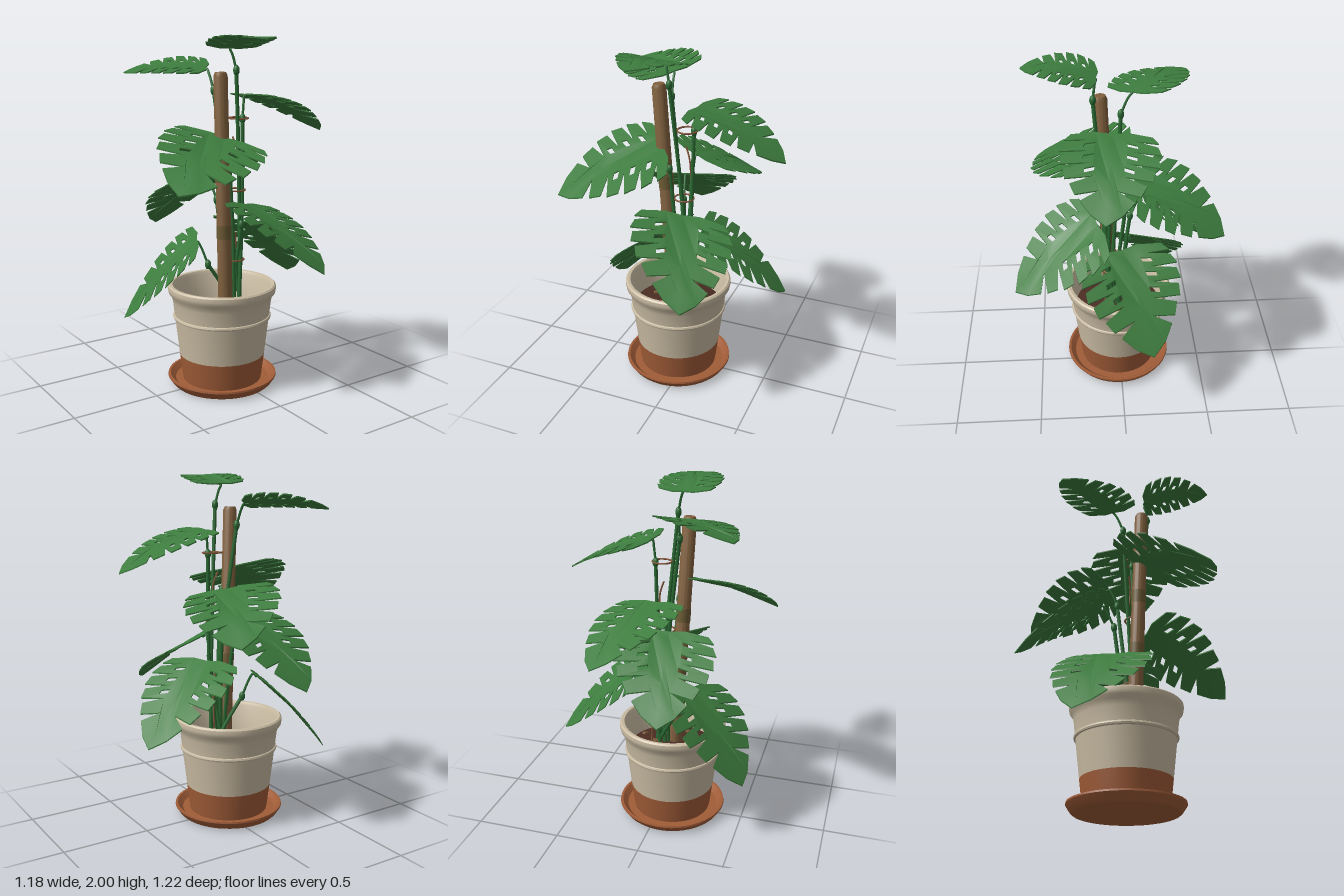
import * as THREE from 'three';
import { mergeGeometries, toCreasedNormals } from 'three/addons/utils/BufferGeometryUtils.js';

const mat = (name, color, side = THREE.FrontSide) => {
  const m = new THREE.MeshStandardMaterial({ color, side });
  m.name = name;
  return m;
};
const V = (a) => new THREE.Vector3(...a);

// Half of a split leaf in (u along the midrib, v outwards), length 1
function halfLeaf(sign) {
  const P = (s, t) => new THREE.Vector2(s + 0.11 * t, sign * t * (0.455 - 0.95 * (s - 0.2) ** 2));
  const slits = [-0.09, 0.05, 0.2, 0.35, 0.5, 0.65];
  const pts = [new THREE.Vector2(0, 0), P(-0.06, 0.4)];
  const holes = [];
  for (let i = 0; i < 5; i++) {
    const a = slits[i] + 0.027, b = slits[i + 1] - 0.027, m = (a + b) / 2;
    pts.push(P(a, 0.97), P(b, 1.02), P(slits[i + 1], 0.5 - 0.045 * i));
    if (i > 0 && i < 4) {
      holes.push(new THREE.Path([P(m - 0.026, 0.32), P(m + 0.02, 0.34), P(m + 0.026, 0.56), P(m - 0.02, 0.54)]));
    }
  }
  pts.push(P(0.68, 1.02), new THREE.Vector2(0.91, sign * 0.14));
  for (let i = 10; i > 0; i--) pts.push(new THREE.Vector2(i / 10, 0));
  const shape = new THREE.Shape(pts);
  shape.holes = holes;
  return new THREE.ExtrudeGeometry(shape, { depth: 0.007, bevelEnabled: false });
}

// Bends the flat leaf so that its midrib arches from base to tip
function leafGeometry(base, tip, roll, bow) {
  const d = tip.clone().sub(base), len = d.length();
  const run = Math.hypot(d.x, d.z), hx = d.x / run, hz = d.z / run;
  const geo = mergeGeometries([halfLeaf(1), halfLeaf(-1)]);
  const p = geo.attributes.position;
  for (let i = 0; i < p.count; i++) {
    const u = p.getX(i), v = p.getY(i) * len, n = p.getZ(i);
    const y = d.y * u + bow * len * 4 * u * (1 - u) - v * roll + Math.abs(v) * 0.02 + n;
    p.setXYZ(i, base.x + hx * run * u + hz * v, base.y + y, base.z + hz * run * u - hx * v);
  }
  geo.deleteAttribute('normal');
  return toCreasedNormals(geo, 0.6);
}

export function createModel() {
  const cream = mat('cream glaze', 0xcabca3);
  const clay = mat('terracotta', 0xa05c38);
  const earth = mat('soil', 0x4a2c22);
  const bark = mat('pole brown', 0x80603e);
  const moss = mat('moss', 0x6e5c35);
  const green = mat('leaf green', 0x3d7c3e, THREE.DoubleSide);
  const stemGreen = mat('stem green', 0x2b6a33);
  const twine = mat('twine brown', 0x86573a);

  const model = new THREE.Group();
  model.name = 'pottedPlant';
  const add = (name, geo, material, pos = [0, 0, 0], parent = model) => {
    const m = new THREE.Mesh(geo, material);
    m.name = name;
    m.position.set(...pos);
    parent.add(m);
    return m;
  };
  const lathe = (pts) => toCreasedNormals(
    new THREE.LatheGeometry(pts.map((p) => new THREE.Vector2(...p)), 48), 0.6);
  const tube = (pts, r, n = 20) =>
    new THREE.TubeGeometry(new THREE.CatmullRomCurve3(pts), n, r, 8);

  // Pot, saucer and soil
  const pot = new THREE.Group();
  pot.name = 'pot';
  pot.position.set(-0.06, 0, 0.01);
  model.add(pot);
  add('saucer', lathe([[0, 0], [0.285, 0], [0.298, 0.012], [0.32, 0.045], [0.318, 0.055], [0.305, 0.055],
    [0.275, 0.025], [0, 0.025]]), clay, [0, 0, 0], pot);
  add('potBase', lathe([[0, 0.026], [0.23, 0.026], [0.234, 0.05], [0.25, 0.18]]), clay, [0, 0, 0], pot);
  add('potBody', lathe([[0.25, 0.18], [0.275, 0.396], [0.284, 0.399], [0.287, 0.408], [0.284, 0.417],
    [0.278, 0.42], [0.287, 0.5], [0.296, 0.535], [0.312, 0.553], [0.316, 0.575], [0.314, 0.592],
    [0.305, 0.6], [0.288, 0.598], [0.278, 0.58], [0.255, 0.38]]), cream, [0, 0, 0], pot);
  add('soil', lathe([[0.262, 0.42], [0.2, 0.432], [0, 0.445]]), earth, [0, 0, 0], pot);
  for (let i = 0; i < 9; i++) {
    const a = i * 2.4, r = 0.1 + 0.013 * i;
    const chip = add('barkChip', new THREE.BoxGeometry(0.045, 0.012, 0.022), bark,
      [r * Math.cos(a), 0.44, r * Math.sin(a)], pot);
    chip.rotation.set(0.2, a * 1.7, 0.15);
  }

  // Leaning support pole with mossy bands
  const pole = new THREE.Group();
  pole.name = 'supportPole';
  const foot = V([-0.061, 0.42, 0.052]), top = V([-0.127, 1.81, 0.1]);
  const axis = top.clone().sub(foot), h = axis.length();
  pole.position.copy(foot);
  pole.quaternion.setFromUnitVectors(V([0, 1, 0]), axis.normalize());
  model.add(pole);
  add('poleShaft', lathe([[0, 0], [0.042, 0], [0.039, h - 0.02], [0.03, h], [0, h]]), bark, [0, 0, 0], pole);
  for (const y of [0.5, 0.83]) {
    add('mossBand', new THREE.CylinderGeometry(0.0425, 0.0428, 0.08, 24, 1, true), moss, [0, y, 0], pole);
  }

  // Leaves: knuckle on the stalk, leaf base, leaf tip, sideways roll, arch
  const leaves = [
    [[-0.05, 1.82, 0.14], [-0.08, 1.935, 0.12], [-0.12, 1.975, 0.51], 0.03, 0.07],
    [[-0.1, 1.71, -0.01], [-0.11, 1.83, -0.07], [-0.47, 1.8, -0.37], 0.2, 0.05],
    [[0.055, 1.55, 0.05], [0.07, 1.68, 0.045], [0.585, 1.46, 0.1], 0.02, 0.06],
    [[-0.07, 1.33, 0.1], [-0.1, 1.45, 0.11], [-0.59, 1.22, 0.43], 0.25, 0.06],
    [[0.01, 1.25, -0.04], [0.01, 1.36, -0.09], [0.23, 1.12, -0.56], -0.16, 0.06],
    [[-0.05, 1.08, -0.06], [-0.07, 1.21, -0.13], [-0.15, 0.86, -0.61], 0.05, 0.06],
    [[0.02, 0.95, 0.09], [0.02, 1.07, 0.13], [0.2, 0.745, 0.61], 0.2, 0.06],
    [[0.045, 0.77, 0.02], [0.1, 0.94, 0], [0.56, 0.54, -0.16], -0.03, 0.06],
    [[-0.13, 0.71, -0.03], [-0.18, 0.85, -0.07], [-0.55, 0.395, -0.28], 0.15, 0.06],
  ];
  leaves.forEach(([k, b, t, roll, bow], i) => {
    const knuckle = V(k), base = V(b), tip = V(t), a = i * 0.7;
    const root = V([0.005 + 0.04 * Math.cos(a), 0.42, 0.04 + 0.04 * Math.sin(a)]);
    const mid = root.clone().lerp(knuckle, 0.5);
    mid.x += 0.008;
    add('leafStalk', tube([root, mid, knuckle], 0.011), stemGreen);
    const reach = knuckle.clone().lerp(base, 0.6);
    reach.y += 0.015;
    add('leafNeck', tube([knuckle, reach, base, base.clone().lerp(tip, 0.05)], 0.007, 10), stemGreen);
    const bud = add('knuckle', new THREE.SphereGeometry(0.018, 12, 8), stemGreen, k);
    bud.scale.y = 1.6;
    add('leaf', leafGeometry(base, tip, roll, bow), green);
  });

  // Twine rings and aerial roots
  [[0.0, 0.74, 0.05], [0.0, 1.15, 0.06], [0.02, 1.555, 0.06]].forEach((p, i) => {
    const ring = add('twineRing', new THREE.TorusGeometry(0.055, 0.005, 6, 28), twine, p);
    ring.rotation.x = Math.PI / 2 + 0.03 * (i - 1);
  });
  add('aerialRoot', tube([V([0, 1.45, 0.03]), V([0.025, 1.38, 0.04]), V([0.03, 1.25, 0.03])], 0.005, 10), twine);
  add('aerialRoot', tube([V([0.02, 0.9, 0.03]), V([0.05, 0.75, 0.0]), V([0.06, 0.43, -0.03])], 0.005, 10), twine);

  return model;
}
